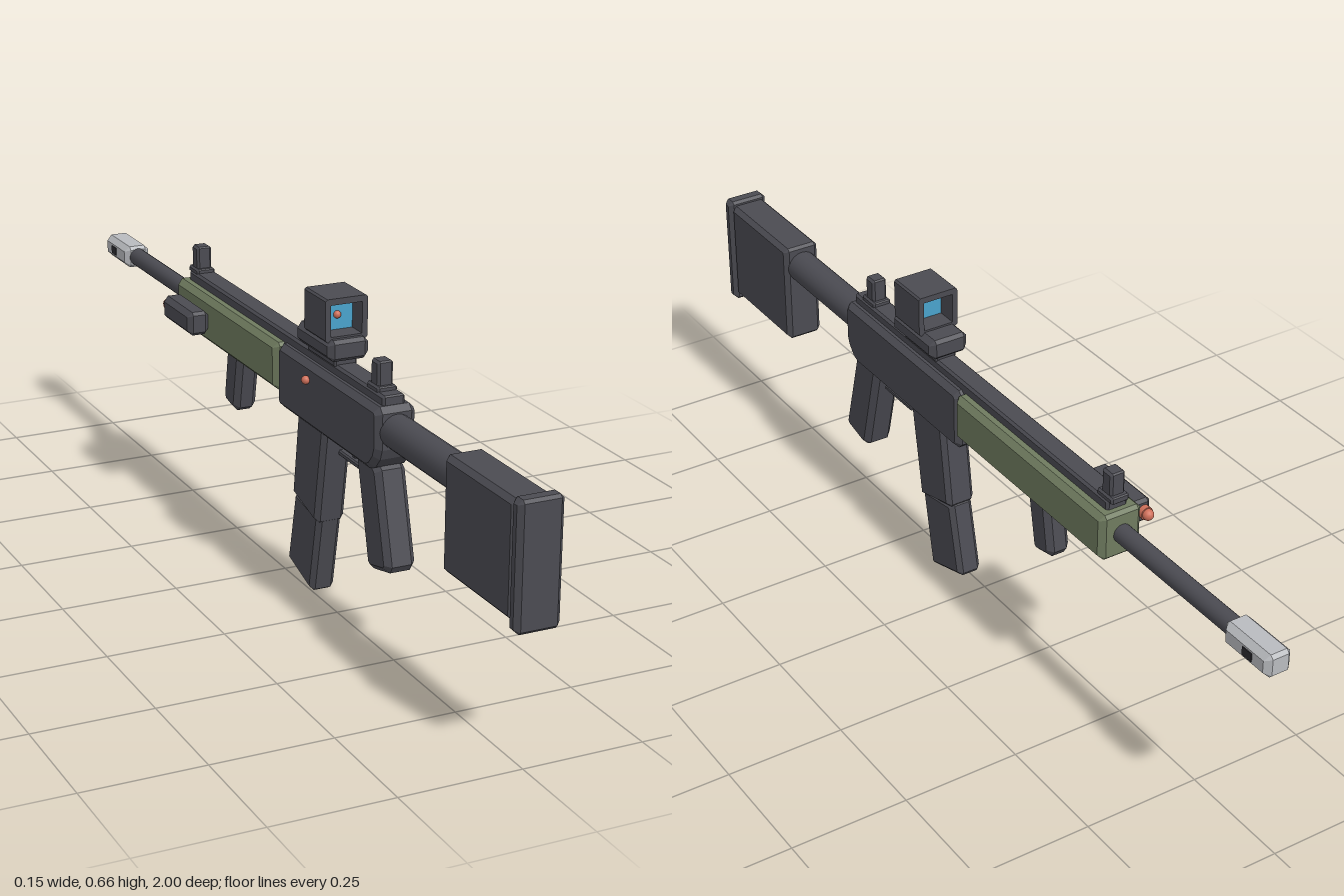
import * as THREE from 'three';

const CX = 0.023; // centre plane of the main body

function mat(name, color) {
  const m = new THREE.MeshStandardMaterial({ color });
  m.name = name;
  return m;
}

// Cuts each corner of a polygon by distance c.
function chamfer(points, c) {
  const n = points.length, out = [];
  points.forEach((p, i) => {
    for (const q of [points[(i + n - 1) % n], points[(i + 1) % n]]) {
      const d = q.clone().sub(p);
      out.push(p.clone().addScaledVector(d.normalize(), c));
    }
  });
  return out;
}

// Side outline as [z, y] corners, extruded across x with bevelled edges.
function slab(outline, width, bevel, corner = bevel) {
  const pts = outline.map(([z, y]) => new THREE.Vector2(-z, y));
  const geo = new THREE.ExtrudeGeometry(new THREE.Shape(corner > 0 ? chamfer(pts, corner) : pts), {
    depth: width - 2 * bevel, bevelEnabled: bevel > 0, bevelSize: bevel,
    bevelThickness: bevel, bevelOffset: -bevel, bevelSegments: 1,
  });
  geo.translate(0, 0, -(width / 2 - bevel));
  geo.rotateY(Math.PI / 2);
  return geo;
}

// Bevelled block from z and y ranges.
const block = (z0, z1, y0, y1, width, bevel) =>
  slab([[z0, y0], [z0, y1], [z1, y1], [z1, y0]], width, bevel, bevel * 0.6);

// Round bar along z.
function bar(z0, z1, radius, sides = 20) {
  return new THREE.CylinderGeometry(radius, radius, z1 - z0, sides)
    .rotateX(Math.PI / 2).translate(0, 0, (z0 + z1) / 2);
}

export function createModel() {
  const dark = mat('darkPolymer', 0x4b4b52);
  const green = mat('oliveGreen', 0x6f7b5f);
  const silver = mat('silverMetal', 0xb9bbbf);
  const blue = mat('blueGlass', 0x4aa3cc);
  const red = mat('coralRed', 0xd0705a);
  const black = mat('blackSlot', 0x2c2c31);

  const model = new THREE.Group();
  const add = (name, geo, material, x = CX, y = 0, z = 0) => {
    const mesh = new THREE.Mesh(geo, material);
    mesh.name = name;
    mesh.position.set(x, y, z);
    model.add(mesh);
    return mesh;
  };

  // Stock
  add('buttPlate', block(0.968, 1.0, 0.263, 0.516, 0.094, 0.01), dark);
  add('stock', block(0.718, 0.972, 0.277, 0.507, 0.084, 0.01), dark);
  add('stockTube', bar(0.44, 0.73, 0.035), dark, CX, 0.457);

  // Receiver, handguard and top rail
  add('receiver', slab([[0.455, 0.41], [0.455, 0.507], [0, 0.507], [0, 0.37], [0.42, 0.37]], 0.086, 0.012), dark);
  add('handguard', block(-0.518, 0.004, 0.403, 0.505, 0.097, 0.012), green);
  add('topRail', block(-0.5, 0.442, 0.495, 0.526, 0.048, 0.005), dark);

  // Barrel and muzzle
  add('barrel', bar(-0.88, -0.5, 0.02), dark, CX, 0.456);
  add('muzzle', block(-1.0, -0.868, 0.431, 0.481, 0.06, 0.012), silver);
  for (const side of [-1, 1]) {
    add('muzzleSlot', new THREE.BoxGeometry(0.004, 0.018, 0.027), black, CX + side * 0.03, 0.456, -0.943);
  }

  // Iron sights
  for (const [name, z] of [['frontSight', -0.485], ['rearSight', 0.39]]) {
    add(name, block(z - 0.016, z + 0.016, 0.52, 0.583, 0.034, 0.005), dark);
    add(name + 'Base', block(z - 0.025, z + 0.025, 0.52, 0.535, 0.042, 0.004), dark);
  }

  // Optic: foot, base and open housing with a glass pane and dot
  add('opticFoot', block(0.11, 0.235, 0.52, 0.545, 0.05, 0.004), dark);
  add('opticBase', block(0.093, 0.252, 0.537, 0.581, 0.09, 0.012), dark);
  const frame = new THREE.Shape(chamfer([[-0.046, 0.575], [0.046, 0.575], [0.046, 0.663], [-0.046, 0.663]]
    .map(([x, y]) => new THREE.Vector2(x, y)), 0.004));
  const opening = [[-0.034, 0.585], [-0.034, 0.65], [0.034, 0.65], [0.034, 0.585]];
  frame.holes.push(new THREE.Path(opening.map(([x, y]) => new THREE.Vector2(x, y))));
  add('opticHousing', new THREE.ExtrudeGeometry(frame, { depth: 0.097, bevelEnabled: false }), dark, CX, 0, 0.139);
  add('opticGlass', new THREE.BoxGeometry(0.068, 0.066, 0.008), blue, CX, 0.6175, 0.188);
  add('opticDot', new THREE.SphereGeometry(0.008, 14, 10), red, CX, 0.616, 0.193);

  // Grip, trigger and guard
  add('grip', slab([[0.433, 0.385], [0.34, 0.385], [0.398, 0.157], [0.488, 0.178]], 0.066, 0.012), dark);
  add('triggerGuard', block(0.232, 0.338, 0.335, 0.347, 0.03, 0.003), dark);
  add('trigger', block(0.278, 0.292, 0.33, 0.38, 0.014, 0.002), dark);

  // Two-part magazine
  add('magazineWell', slab([[0.205, 0.385], [0.078, 0.385], [0.052, 0.195], [0.168, 0.165]], 0.066, 0.01, 0.005), dark);
  add('magazine', slab([[0.17, 0.18], [0.054, 0.2], [0.018, 0.035], [0.134, 0]], 0.055, 0.01, 0.006), dark);

  // Forward grip
  add('foregrip', slab([[-0.225, 0.415], [-0.295, 0.415], [-0.317, 0.282], [-0.252, 0.268]], 0.052, 0.012), dark);

  // Side light with its tip, and the receiver button
  add('sideLight', block(-0.48, -0.33, 0.429, 0.481, 0.05, 0.011), dark, -0.05);
  add('sideLightMount', block(-0.45, -0.36, 0.44, 0.47, 0.03, 0.002), dark, -0.022);
  add('sideLightCollar', bar(-0.492, -0.475, 0.014, 14), red, -0.054, 0.456);
  add('sideLightTip', new THREE.SphereGeometry(0.012, 14, 10), red, -0.054, 0.456, -0.495);
  add('receiverButton', new THREE.SphereGeometry(0.009, 14, 10), red, -0.025, 0.473, 0.15);

  return model;
}
